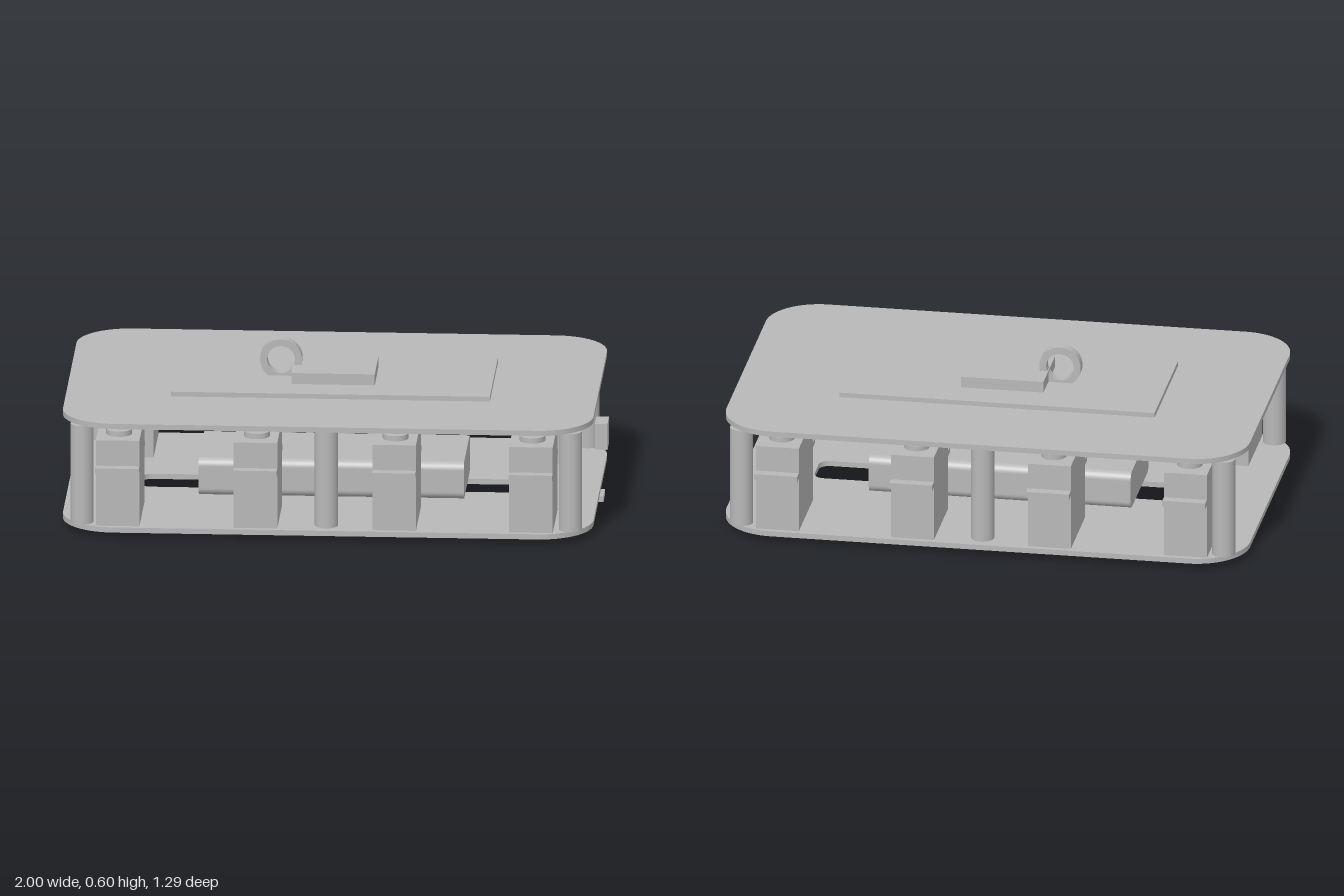
import * as THREE from 'three';

const grey = new THREE.MeshStandardMaterial({ color: 0xb8b8b8 });
grey.name = 'plain grey';

const CX = -0.015; // middle of the chassis plates

export function createModel() {
  const model = new THREE.Group();
  model.name = 'robotChassis';

  const add = (name, geometry, x = 0, y = 0, z = 0, parent = model) => {
    const mesh = new THREE.Mesh(geometry, grey);
    mesh.name = name;
    mesh.position.set(x, y, z);
    parent.add(mesh);
    return mesh;
  };
  // Box given by its limits on each axis
  const block = (name, [x0, x1], [y0, y1], [z0, z1], parent) =>
    add(name, new THREE.BoxGeometry(x1 - x0, y1 - y0, z1 - z0),
      (x0 + x1) / 2, (y0 + y1) / 2, (z0 + z1) / 2, parent);

  // Rounded rectangle outline around (cx, 0)
  const roundedRect = (path, cx, w, h, r) => {
    const x = w / 2 - r, y = h / 2 - r;
    path.absarc(cx + x, y, r, 0, Math.PI / 2);
    path.absarc(cx - x, y, r, Math.PI / 2, Math.PI);
    path.absarc(cx - x, -y, r, Math.PI, Math.PI * 1.5);
    path.absarc(cx + x, -y, r, Math.PI * 1.5, Math.PI * 2);
    path.closePath();
    return path;
  };
  const extrude = (shape, depth) =>
    new THREE.ExtrudeGeometry(shape, { depth, bevelEnabled: false, curveSegments: 16 });

  // Lower deck with three slots, and the solid upper deck
  const deck = (name, y, slots) => {
    const shape = roundedRect(new THREE.Shape(), CX, 1.97, 1.26, 0.2);
    for (const x of slots) shape.holes.push(roundedRect(new THREE.Path(), x, 0.27, 0.17, 0.04));
    add(name, extrude(shape, 0.02).rotateX(-Math.PI / 2), 0, y, 0);
  };
  deck('lowerDeck', 0.022, [CX - 0.585, CX, CX + 0.585]);
  deck('upperDeck', 0.422, []);

  // Spacer posts between the decks
  for (const z of [-0.555, 0.555])
    for (const x of [CX - 0.907, CX, CX + 0.907])
      add('spacerPost', new THREE.CylinderGeometry(0.043, 0.043, 0.38, 32), x, 0.232, z);

  // Servos, four on each long side
  for (const side of [1, -1])
    for (const x of [-0.787, -0.275, 0.24, 0.748]) {
      const servo = new THREE.Group();
      servo.name = 'servo';
      servo.position.x = x;
      if (side < 0) servo.rotation.y = Math.PI;
      const w = [-0.081, 0.081];
      block('servoBody', w, [0.042, 0.372], [0.298, 0.61], servo);
      block('servoFlange', w, [0.252, 0.274], [0.26, 0.647], servo);
      add('servoGearCap', new THREE.CylinderGeometry(0.048, 0.048, 0.02, 32), 0, 0.382, 0.513, servo);
      add('servoShaft', new THREE.CylinderGeometry(0.018, 0.018, 0.03, 24), 0, 0.407, 0.513, servo);
      model.add(servo);
    }

  // Battery with rounded long edges
  const battery = roundedRect(new THREE.Shape(), 0, 0.395, 0.143, 0.03);
  add('battery', extrude(battery, 0.985).rotateY(Math.PI / 2), -0.51, 0.1135, 0);

  // Stacked boards on the upper deck
  block('topBoard', [-0.61, 0.575], [0.442, 0.46], [-0.255, 0.255]);
  block('topModule', [-0.17, 0.14], [0.46, 0.502], [-0.127, 0.127]);

  // Upright ring
  const ring = new THREE.Shape().absarc(0, 0, 0.078, 0, Math.PI * 2);
  ring.holes.push(new THREE.Path().absarc(0, 0, 0.052, 0, Math.PI * 2));
  add('uprightRing', extrude(ring, 0.04), -0.214, 0.522, -0.02);

  // End sensor and the tab beneath the lower deck
  block('endSensor', [0.953, 1.0], [0.202, 0.302], [-0.048, 0.048]);
  block('lowerTab', [0.89, 0.985], [0, 0.022], [-0.048, 0.048]);

  return model;
}
